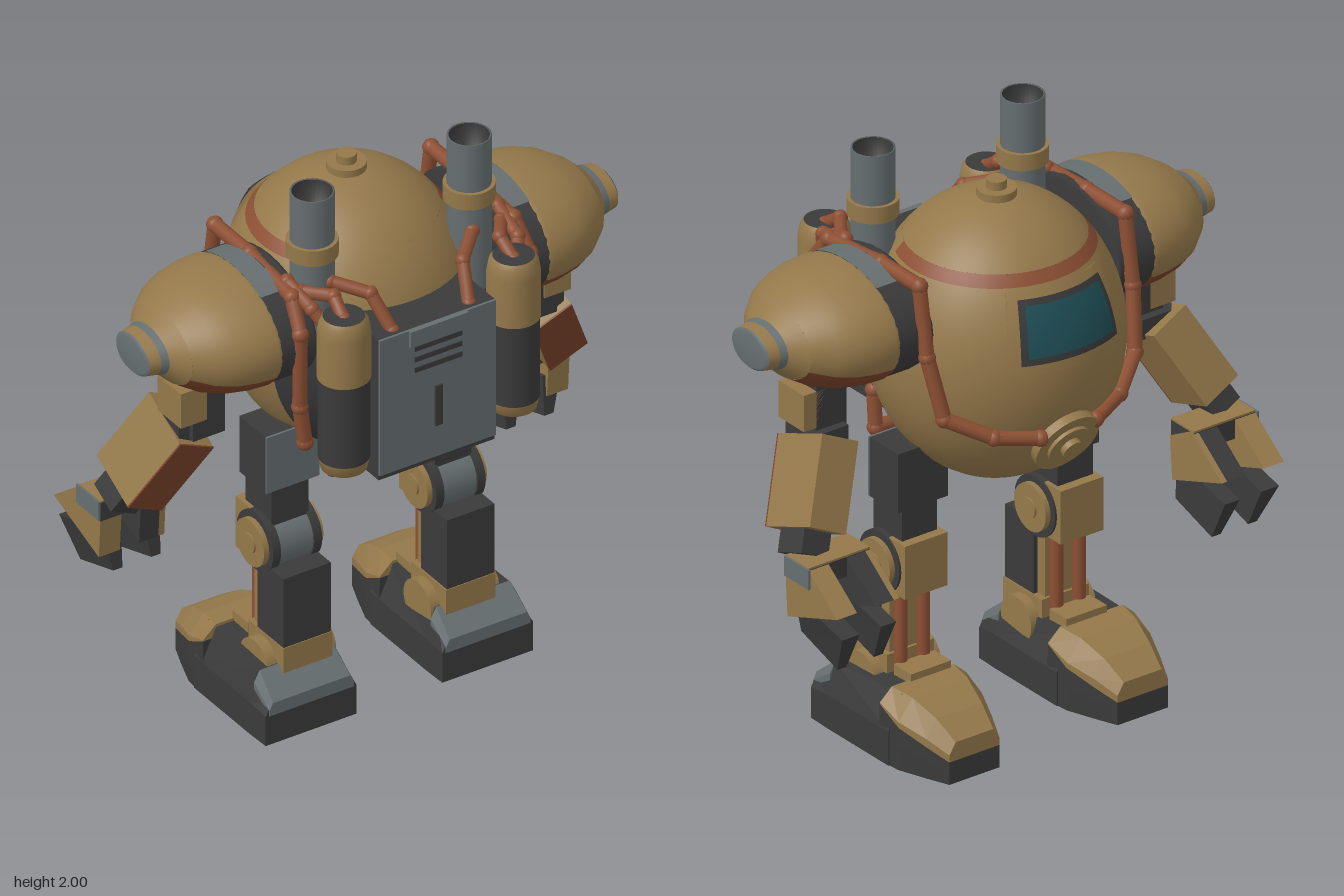
import * as THREE from 'three';

const paint = (name, color) => Object.assign(new THREE.MeshStandardMaterial({ color }), { name });

export function createModel() {
  const tan = paint('tan armour', 0x94784a), dark = paint('dark metal', 0x3a3a3b), grey = paint('grey metal', 0x666e70);
  const rust = paint('rust hose', 0x8c4f33), brown = paint('brown panel', 0x7a4229), teal = paint('teal glass', 0x1f4f57);
  const model = new THREE.Group();
  model.name = 'walkingRobot';

  const add = (parent, name, geo, mat, x = 0, y = 0, z = 0) => {
    const m = new THREE.Mesh(geo, mat);
    m.name = name;
    m.position.set(x, y, z);
    parent.add(m);
    return m;
  };
  // box from its min and max along each axis
  const box = (parent, name, mat, [x0, x1], [y0, y1], [z0, z1]) =>
    add(parent, name, new THREE.BoxGeometry(x1 - x0, y1 - y0, z1 - z0), mat, (x0 + x1) / 2, (y0 + y1) / 2, (z0 + z1) / 2);
  const cyl = (parent, name, mat, r, h, x, y, z, axis = 'y') => {
    const g = new THREE.CylinderGeometry(r, r, h, 24);
    if (axis === 'x') g.rotateZ(Math.PI / 2);
    return add(parent, name, g, mat, x, y, z);
  };
  // hose of straight pieces with round joints
  const up = new THREE.Vector3(0, 1, 0);
  const hose = (parent, pts, r = 0.025) => {
    const p = pts.map(a => new THREE.Vector3(...a));
    p.forEach((v, i) => {
      add(parent, 'hoseJoint', new THREE.SphereGeometry(r * 1.15, 10, 8), rust, v.x, v.y, v.z);
      if (!i) return;
      const d = v.clone().sub(p[i - 1]), mid = v.clone().add(p[i - 1]).multiplyScalar(0.5);
      add(parent, 'hose', new THREE.CylinderGeometry(r, r, d.length(), 10), rust, mid.x, mid.y, mid.z)
        .quaternion.setFromUnitVectors(up, d.normalize());
    });
  };
  // loft of chamfered sections [z, halfWidth, shoulderY, topHalfWidth, topY, bottomY], z falling
  const loft = (parent, name, mat, sections, x) => {
    const rings = sections.map(([z, w, h1, t, h2, y0]) =>
      [[w, y0, z], [w, h1, z], [t, h2, z], [-t, h2, z], [-w, h1, z], [-w, y0, z]]);
    const v = [], n = 6, tri = (...c) => c.forEach(p => v.push(...p));
    for (let s = 0; s + 1 < rings.length; s++) for (let i = 0; i < n; i++) {
      const j = (i + 1) % n, a = rings[s], b = rings[s + 1];
      tri(a[i], b[i], a[j]);
      tri(a[j], b[i], b[j]);
    }
    const first = rings[0], last = rings[rings.length - 1];
    for (let i = 1; i < n - 1; i++) {
      tri(first[0], first[i], first[i + 1]);
      tri(last[0], last[i + 1], last[i]);
    }
    const g = new THREE.BufferGeometry();
    g.setAttribute('position', new THREE.Float32BufferAttribute(v, 3));
    g.computeVertexNormals();
    add(parent, name, g, mat, x);
  };

  // Egg-shaped body, split into colour zones
  const C = [0, 1.36, -0.06], R = [0.42, 0.49, 0.415], PI = Math.PI;
  const shell = (name, mat, t0, t1, p0 = 0, len = PI * 2) => {
    const g = new THREE.SphereGeometry(1, 64, 20, p0, len, t0, t1 - t0);
    g.scale(...R);
    add(model, name, g, mat, ...C);
  };
  shell('domeTop', tan, 0, 0.785);
  shell('domeStripe', rust, 0.785, 0.885, PI - 0.45, PI + 0.9);
  shell('domeStripeGap', tan, 0.785, 0.885, 0.45, PI - 0.9);
  shell('body', tan, 0.885, PI);
  // dark rear cover, open above the backpack
  const rear = new THREE.SphereGeometry(1.008, 48, 16, -0.35, PI + 0.7, 0, 1.18);
  rear.rotateX(PI / 2);
  rear.scale(...R);
  add(model, 'bodyRear', rear, dark, ...C);
  cyl(model, 'hatch', tan, 0.065, 0.03, 0, 1.855, -0.065);
  cyl(model, 'hatchKnob', tan, 0.033, 0.04, 0, 1.88, -0.065);

  // Window plates bent over the body
  const bent = (name, mat, half, t0, t1, s1) => {
    const g = new THREE.BoxGeometry(2 * half, 1, 1, 16, 10, 1), p = g.attributes.position;
    for (let i = 0; i < p.count; i++) {
      const u = p.getX(i), t = t0 + (0.5 - p.getY(i)) * (t1 - t0), s = 0.97 + (p.getZ(i) + 0.5) * (s1 - 0.97);
      p.setXYZ(i, -Math.sin(u) * Math.sin(t) * R[0] * s, Math.cos(t) * R[1] * s, -Math.cos(u) * Math.sin(t) * R[2] * s);
    }
    g.computeVertexNormals();
    add(model, name, g, mat, ...C);
  };
  bent('windowSurround', tan, 0.55, 0.92, 1.48, 1.028);
  bent('windowFrame', dark, 0.45, 0.98, 1.41, 1.05);
  bent('windowGlass', teal, 0.395, 1.025, 1.365, 1.06);

  // Round hub low on the face
  const hub = new THREE.Group();
  hub.name = 'faceHub';
  hub.position.set(0, 1.115, -0.42);
  hub.quaternion.setFromUnitVectors(up, new THREE.Vector3(0, -1, -2.05).normalize());
  model.add(hub);
  [[0.12, 0.03], [0.078, 0.042], [0.036, 0.062]].forEach(([r, h]) => cyl(hub, 'hubDisc', tan, r, h, 0, h / 2 - 0.01, 0));

  // Backpack
  box(model, 'backpack', dark, [-0.22, 0.22], [1.02, 1.55], [0.12, 0.455]);
  box(model, 'backpackPanel', grey, [-0.22, 0.22], [1.04, 1.55], [0.455, 0.464]);
  box(model, 'panelCover', grey, [-0.11, 0.11], [1.49, 1.55], [0.464, 0.475]);
  [1.475, 1.435, 1.395].forEach(y => box(model, 'vent', dark, [-0.09, 0.09], [y - 0.009, y + 0.009], [0.464, 0.468]));
  box(model, 'panelHandle', dark, [-0.014, 0.014], [1.16, 1.31], [0.464, 0.472]);
  hose(model, [[-0.25, 1.09, 0.25], [-0.25, 0.96, 0.24], [0, 0.95, 0.24], [0.25, 0.96, 0.24], [0.25, 1.09, 0.25]]);

  const lathe = (parent, name, mat, pts, p0 = 0, len = PI * 2) =>
    add(parent, name, new THREE.LatheGeometry(pts.map(q => new THREE.Vector2(...q)), 32, p0, len), mat);

  const side = s => {
    const g = new THREE.Group();
    g.name = s > 0 ? 'leftSide' : 'rightSide';
    g.scale.x = s;
    model.add(g);

    // Shoulder pod: lathe laid along x, wider than tall
    const pod = new THREE.Group();
    pod.name = 'shoulder';
    pod.position.set(0, 1.52, 0.055);
    pod.rotation.z = -PI / 2;
    pod.scale.set(0.2, 1, 0.287);
    g.add(pod);
    const H = PI / 2, low = 1.15;
    lathe(pod, 'shoulderBand', dark, [[0, 0.36], [0.96, 0.37], [0.985, 0.38], [0.985, 0.51]]);
    lathe(pod, 'shoulderBandPlate', grey, [[1, 0.43], [1, 0.51]], 3 * H - 0.6, 1.2);
    const curve = [[0.98, 0.505], [1, 0.52], [0.985, 0.58], [0.93, 0.65], [0.82, 0.715], [0.62, 0.78]];
    lathe(pod, 'shoulderShell', tan, curve, H + low, PI * 2 - 2 * low);
    lathe(pod, 'shoulderUnderside', brown, curve, H - low, 2 * low);
    lathe(pod, 'shoulderNose', tan, [[0.62, 0.78], [0.4, 0.825]]);
    lathe(pod, 'noseRing', grey, [[0.4, 0.825], [0.37, 0.85]]);
    lathe(pod, 'noseTip', tan, [[0.37, 0.85], [0.34, 0.888]]);
    lathe(pod, 'noseEnd', grey, [[0.34, 0.888], [0.29, 0.897], [0, 0.898]]);

    // Arm
    box(g, 'armJoint', dark, [0.57, 0.69], [1.14, 1.36], [-0.03, 0.1]);
    box(g, 'elbow', dark, [0.585, 0.73], [1.13, 1.2], [-0.06, 0.08]);
    box(g, 'armPlate', tan, [0.64, 0.74], [1.21, 1.34], [-0.03, 0.105]);
    const arm = new THREE.Group();
    arm.name = 'forearm';
    arm.position.set(0.73, 1.035, -0.06);
    arm.quaternion.setFromUnitVectors(new THREE.Vector3(0, -1, 0), new THREE.Vector3(0.135, -0.26, -0.11).normalize());
    g.add(arm);
    box(arm, 'forearmBox', tan, [-0.075, 0.075], [-0.15, 0.15], [-0.11, 0.11]);
    box(arm, 'forearmPanel', brown, [-0.075, 0.075], [-0.15, 0.15], [0.11, 0.116]);
    box(arm, 'wrist', dark, [-0.055, 0.055], [-0.23, -0.15], [-0.06, 0.06]);

    // Hand with two clawed fingers, claws narrowing towards the tip
    box(g, 'palm', dark, [0.645, 0.89], [0.785, 0.855], [-0.25, -0.13]);
    box(g, 'palmTop', tan, [0.645, 0.89], [0.855, 0.862], [-0.25, -0.13]);
    box(g, 'palmSide', grey, [0.89, 0.897], [0.79, 0.86], [-0.26, -0.13]);
    const finger = (name, mat, pts, x, w, taper = 1) => {
      const geo = new THREE.ExtrudeGeometry(new THREE.Shape(pts.map(([z, y]) => new THREE.Vector2(-z, y))), { depth: w, bevelEnabled: false });
      geo.rotateY(H);
      const p = geo.attributes.position;
      for (let i = 0; i < p.count; i++) if (p.getY(i) < 0.6) p.setX(i, p.getX(i) * taper);
      geo.computeVertexNormals();
      add(g, name, geo, mat, x);
    };
    const upper = [[-0.13, 0.8], [-0.24, 0.86], [-0.4, 0.74], [-0.14, 0.645]];
    const claw = [[-0.15, 0.72], [-0.4, 0.66], [-0.33, 0.515], [-0.14, 0.575]];
    finger('outerFinger', tan, upper, 0.81, 0.08);
    finger('innerFinger', tan, upper, 0.642, 0.022);
    finger('innerFingerCore', dark, upper, 0.664, 0.073);
    finger('outerClaw', dark, claw, 0.8, 0.07, 0.5);
    finger('innerClaw', dark, claw, 0.655, 0.06, 0.6);

    // Leg
    box(g, 'hip', dark, [0.2, 0.4], [0.83, 1.04], [-0.075, 0.075]);
    box(g, 'hipPlate', grey, [0.2, 0.4], [0.83, 1.04], [0.075, 0.083]);
    box(g, 'thigh', dark, [0.24, 0.38], [0.64, 0.84], [-0.07, 0.08]);
    cyl(g, 'knee', grey, 0.1, 0.17, 0.31, 0.62, 0.02, 'x');
    cyl(g, 'kneeRing', dark, 0.106, 0.03, 0.388, 0.62, 0.02, 'x');
    cyl(g, 'kneeRing', dark, 0.106, 0.03, 0.232, 0.62, 0.02, 'x');
    cyl(g, 'kneeDisc', tan, 0.083, 0.225, 0.31, 0.62, 0.02, 'x');
    cyl(g, 'kneeBolt', tan, 0.035, 0.24, 0.31, 0.62, 0.02, 'x');
    box(g, 'kneeGuard', tan, [0.225, 0.395], [0.53, 0.72], [-0.105, -0.02]);
    box(g, 'shin', dark, [0.22, 0.4], [0.29, 0.56], [0.03, 0.18]);
    box(g, 'shinSpine', tan, [0.235, 0.385], [0.25, 0.56], [-0.01, 0.03]);
    [0.265, 0.355].forEach(x => cyl(g, 'piston', rust, 0.022, 0.32, x, 0.4, -0.03));
    box(g, 'ankle', tan, [0.215, 0.402], [0.19, 0.3], [-0.02, 0.183]);
    cyl(g, 'ankleDisc', tan, 0.08, 0.26, 0.31, 0.205, 0.07, 'x');
    box(g, 'ankleTab', tan, [0.23, 0.39], [0.23, 0.272], [-0.13, -0.04]);

    // Foot
    const fx = 0.335;
    loft(g, 'foot', dark, [[0.24, 0.172, 0.11, 0.148, 0.152, 0], [0.155, 0.175, 0.12, 0.14, 0.226, 0], [-0.17, 0.175, 0.12, 0.12, 0.24, 0]], fx);
    loft(g, 'heelPlate', grey, [[0.244, 0.16, 0.13, 0.147, 0.156, 0.11], [0.155, 0.16, 0.19, 0.139, 0.23, 0.11]], fx);
    loft(g, 'toeSole', dark, [[-0.12, 0.174, 0.1, 0.172, 0.2, 0], [-0.21, 0.168, 0.09, 0.166, 0.15, 0],
      [-0.31, 0.132, 0.07, 0.13, 0.11, 0], [-0.39, 0.1, 0.04, 0.1, 0.08, 0]], fx);
    loft(g, 'toeCap', tan, [[-0.12, 0.172, 0.205, 0.124, 0.248, 0.2], [-0.21, 0.166, 0.17, 0.11, 0.24, 0.15],
      [-0.31, 0.13, 0.14, 0.09, 0.2, 0.11], [-0.39, 0.1, 0.105, 0.075, 0.145, 0.08]], fx);

    // Exhaust stack, open at the top
    lathe(g, 'exhaust', grey, [[0.072, 1.45], [0.072, 2], [0.066, 2]]).position.set(0.298, 0, 0.19);
    lathe(g, 'exhaustBore', dark, [[0.066, 2], [0.066, 1.9], [0, 1.9]]).position.set(0.298, 0, 0.19);
    cyl(g, 'exhaustCollar', tan, 0.085, 0.058, 0.298, 1.795, 0.19);

    // Tank beside the backpack
    const tank = [[tan, [[0, 1.07], [0.05, 1.075], [0.075, 1.09], [0.084, 1.13]]], [dark, [[0.084, 1.13], [0.084, 1.43]]],
      [tan, [[0.087, 1.43], [0.087, 1.6], [0.08, 1.64], [0.068, 1.657]]], [dark, [[0.068, 1.657], [0, 1.657]]]];
    tank.forEach(([m, pts]) => lathe(g, 'tank', m, pts).position.set(0.322, 0, 0.41));

    // Hoses over the shoulder to the hub, and from the tank and backpack
    hose(g, [[0.41, 1.16, 0.32], [0.43, 1.3, 0.32], [0.435, 1.58, 0.33], [0.42, 1.68, 0.26], [0.41, 1.7, 0], [0.41, 1.7, -0.2],
      [0.41, 1.46, -0.24], [0.38, 1.25, -0.29], [0.25, 1.18, -0.38], [0.11, 1.16, -0.44]]);
    hose(g, [[0.322, 1.64, 0.41], [0.315, 1.69, 0.34], [0.38, 1.68, 0.25]], 0.022);
    hose(g, [[0.145, 1.54, 0.42], [0.175, 1.65, 0.34], [0.27, 1.68, 0.25]], 0.022);
    hose(g, [[0.4, 1.7, 0.2], [0.39, 1.66, 0.33], [0.36, 1.6, 0.38]], 0.022);
  };
  [1, -1].forEach(side);
  return model;
}
